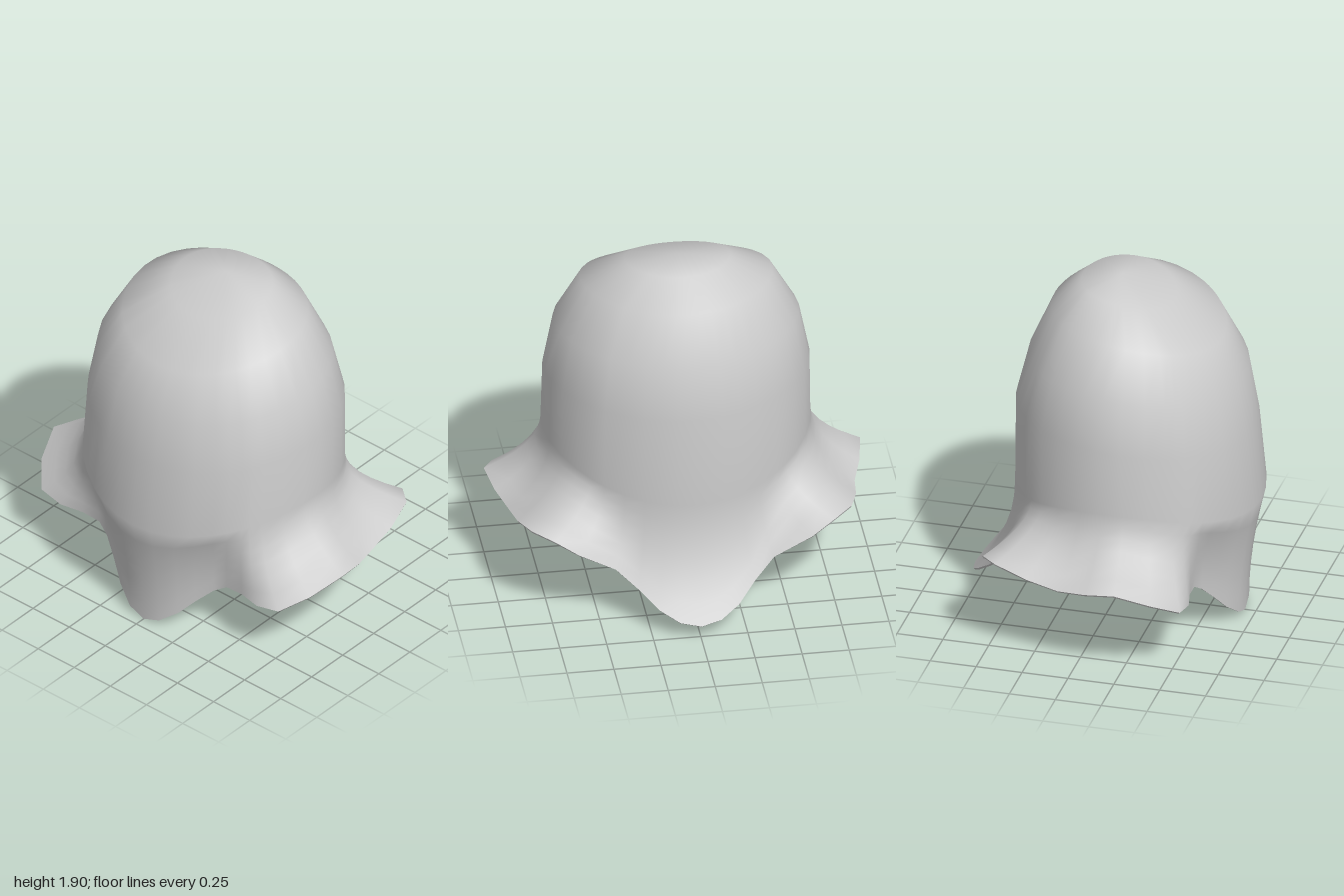
import * as THREE from 'three';

// Brim edge [x, y, z], from front centre round the left side to back centre
const RIM = [
  [0, 0, 0.69], [0.1, 0.035, 0.685], [0.2, 0.11, 0.645], [0.28, 0.2, 0.6], [0.37, 0.29, 0.555],
  [0.44, 0.335, 0.535], [0.55, 0.345, 0.54], [0.68, 0.35, 0.57], [0.82, 0.375, 0.56],
  [0.93, 0.45, 0.43], [1, 0.52, 0.25], [0.97, 0.49, 0.08], [0.92, 0.465, -0.08],
  [0.9, 0.5, -0.26], [0.85, 0.54, -0.44], [0.74, 0.52, -0.535], [0.62, 0.45, -0.57],
  [0.42, 0.33, -0.55], [0.31, 0.24, -0.62], [0.21, 0.155, -0.71], [0.11, 0.1, -0.76], [0, 0.08, -0.78],
];
// Crown rings: front z, front y, back z, back y, side x, side y
const RINGS = [
  [0.31, 1.79, -0.19, 1.88, 0.28, 1.86],
  [0.57, 1.6, -0.345, 1.74, 0.51, 1.73],
  [0.69, 1.36, -0.46, 1.48, 0.65, 1.48],
  [0.74, 1.08, -0.53, 1.2, 0.705, 1.2],
  [0.78, 0.67, -0.535, 0.68, 0.712, 0.84],
];
const BRIM_STEPS = 6;

function ringPoint([fz, fy, bz, by, sx, sy], angle) {
  const c = Math.cos(angle);
  return new THREE.Vector3(
    sx * Math.sin(angle),
    sy + (fy - by) / 2 * c + ((fy + by) / 2 - sy) * c * c,
    (fz + bz) / 2 + (fz - bz) / 2 * c);
}

// One column of points from the crown down to the brim edge
function column([x, y, z]) {
  const angle = Math.atan2(x / 0.71, (z - 0.115) / 0.655);
  const pts = RINGS.map((r) => ringPoint(r, angle));
  const base = pts[pts.length - 1];
  const rim = new THREE.Vector3(x, y, z);
  // the cloth hangs straight at the front and flares elsewhere
  const ratio = Math.hypot(x, z - 0.115) / Math.hypot(base.x, base.z - 0.115);
  const hang = THREE.MathUtils.clamp((1 - ratio) * 8, 0, 1);
  const control = base.clone().lerp(rim, hang);
  control.y = THREE.MathUtils.lerp(base.y, rim.y, 0.55);
  const curve = new THREE.QuadraticBezierCurve3(base, control, rim);
  return pts.concat(curve.getPoints(BRIM_STEPS).slice(1));
}

function geometryFrom(points, index) {
  const g = new THREE.BufferGeometry().setFromPoints(points);
  g.setIndex(index);
  g.computeVertexNormals();
  return g;
}

export function createModel() {
  const group = new THREE.Group();
  group.name = 'floppyHat';
  const material = new THREE.MeshStandardMaterial({ color: 0xcccccc });
  const add = (name, geometry) => {
    const mesh = new THREE.Mesh(geometry, material);
    mesh.name = name;
    group.add(mesh);
  };

  // Full loop of columns, mirrored left to right
  const mirrored = RIM.slice(1, -1).reverse().map(([x, y, z]) => [-x, y, z]);
  const columns = [...RIM, ...mirrored].map(column);
  const n = columns.length, rows = columns[0].length;

  // Outer surface: a pole at the top, then rows of points
  const outer = [new THREE.Vector3(0, 1.9, 0.02)];
  for (let i = 0; i < rows; i++) for (const col of columns) outer.push(col[i]);
  const id = (i, j) => 1 + i * n + (j % n);
  const index = [];
  for (let j = 0; j < n; j++) {
    index.push(0, id(0, j), id(0, j + 1));
    for (let i = 0; i < rows - 1; i++) {
      const a = id(i, j), b = id(i, j + 1), c = id(i + 1, j), d = id(i + 1, j + 1);
      index.push(a, c, b, b, c, d);
    }
  }
  const outerGeometry = geometryFrom(outer, index);
  add('outerShell', outerGeometry);

  // Lining: the same surface moved inward, thinner towards the edge
  const normals = outerGeometry.attributes.normal;
  const inner = outer.map((p, k) => {
    const row = k === 0 ? 0 : Math.floor((k - 1) / n);
    const thickness = THREE.MathUtils.lerp(0.035, 0.012, row / (rows - 1));
    return p.clone().addScaledVector(new THREE.Vector3().fromBufferAttribute(normals, k), -thickness);
  });
  add('lining', geometryFrom(inner, index.slice().reverse()));

  // Narrow band that closes the brim edge
  const edge = [], edgeIndex = [];
  for (let j = 0; j < n; j++) {
    edge.push(outer[id(rows - 1, j)], inner[id(rows - 1, j)]);
    const a = 2 * j, b = 2 * ((j + 1) % n);
    edgeIndex.push(a, a + 1, b, b, a + 1, b + 1);
  }
  add('brimEdge', geometryFrom(edge, edgeIndex));
  return group;
}
